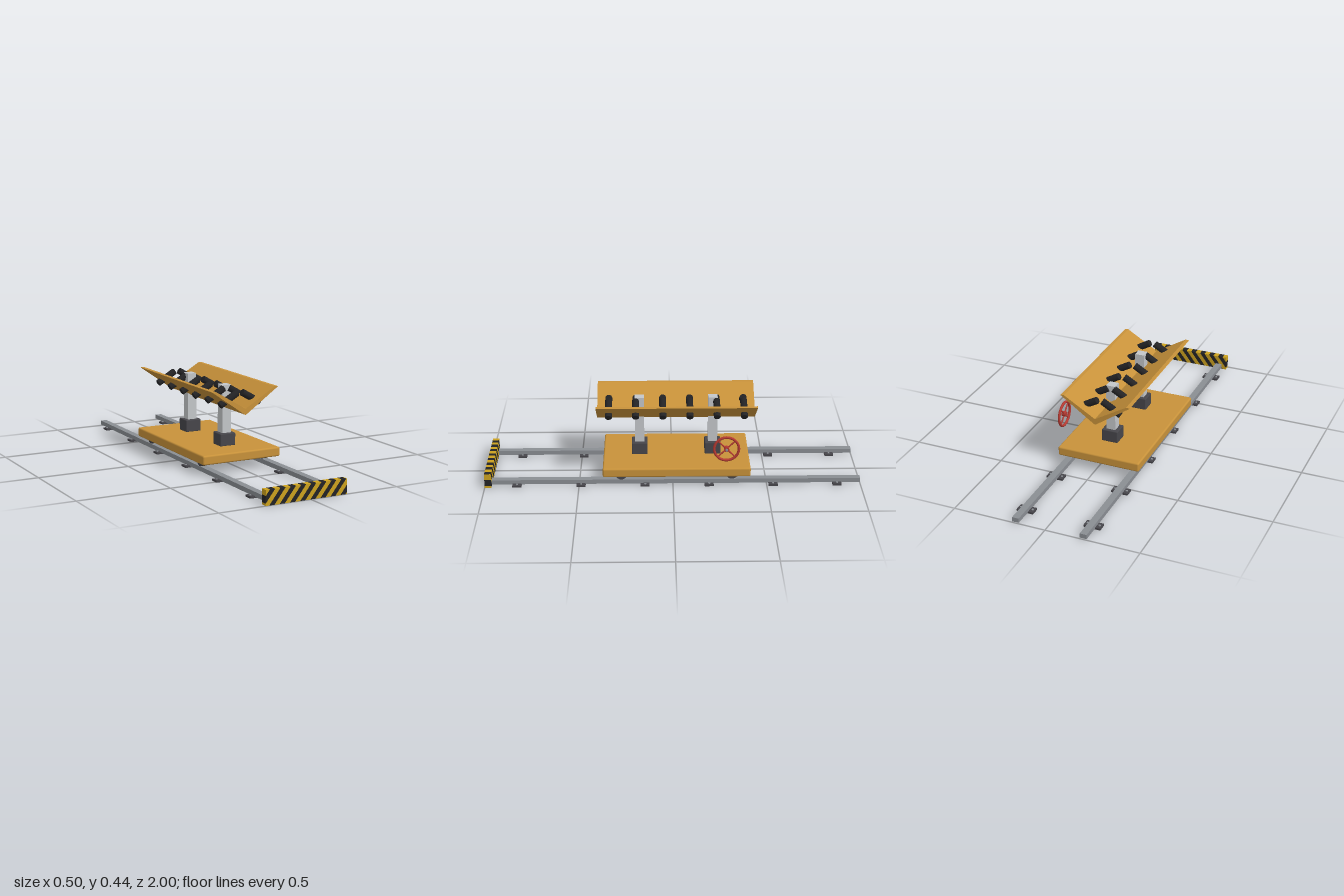
import * as THREE from 'three';
import { RoundedBoxGeometry } from 'three/addons/geometries/RoundedBoxGeometry.js';

const material = (name, color) => {
  const m = new THREE.MeshStandardMaterial({ color });
  m.name = name;
  return m;
};

export function createModel() {
  const group = new THREE.Group();
  const CX = -0.0225, CZ = -0.02; // centre of the trolley
  const ochre = material('ochre paint', 0xc8923a);
  const yellow = material('hazard yellow', 0xcda21e);
  const black = material('rubber black', 0x232325);
  const charcoal = material('charcoal steel', 0x47464b);
  const silver = material('silver steel', 0xc4c7ca);
  const railGrey = material('rail grey', 0x8a8e93);
  const red = material('handwheel red', 0xb53a32);

  const add = (name, geometry, mat, x = 0, y = 0, z = 0, parent = group) => {
    const mesh = new THREE.Mesh(geometry, mat);
    mesh.name = name;
    mesh.position.set(x, y, z);
    parent.add(mesh);
    return mesh;
  };
  const box = (w, h, d) => new THREE.BoxGeometry(w, h, d);
  const extrude = (points, depth) => new THREE.ExtrudeGeometry(
    new THREE.Shape(points.map(([x, y]) => new THREE.Vector2(x, y))),
    { depth, bevelEnabled: false });

  // Rails with bolted foot plates
  for (const side of [-1, 1]) {
    const x = CX + side * 0.182;
    add('rail', box(0.036, 0.024, 1.97), railGrey, x, 0.018, -0.015);
    for (let i = 0; i < 6; i++) {
      const z = -0.875 + i * 0.341;
      add('footPlate', box(0.09, 0.01, 0.048), charcoal, x, 0.005, z);
      for (const s of [-1, 1]) {
        add('footBolt', new THREE.CylinderGeometry(0.006, 0.006, 0.005, 8), railGrey, x + s * 0.032, 0.0115, z);
      }
    }
    // Trolley wheels, half sunk in the deck
    for (const s of [-1, 1]) {
      const wheel = add('trolleyWheel', new THREE.CylinderGeometry(0.031, 0.031, 0.03, 24), charcoal, x, 0.06, CZ + s * 0.295);
      wheel.rotation.z = Math.PI / 2;
    }
  }

  // End stop: alternating diagonal bands cut to the bar outline
  const W = 0.455, H = 0.078, BAND = 0.0285, LEAN = 0.06;
  const left = CX - W / 2, right = CX + W / 2;
  const clip = (points, edge, sign) => points.flatMap((p, i) => {
    const q = points[(i + 1) % points.length];
    const a = (p[0] - edge) * sign, b = (q[0] - edge) * sign;
    const out = a >= 0 ? [p] : [];
    if (a * b < 0) {
      const t = a / (a - b);
      out.push([p[0] + (q[0] - p[0]) * t, p[1] + (q[1] - p[1]) * t]);
    }
    return out;
  });
  const endStop = new THREE.Group();
  endStop.name = 'endStop';
  group.add(endStop);
  for (let i = 0; i < 19; i++) {
    const x = left - LEAN - 0.006 + i * BAND;
    let band = [[x, 0], [x + BAND, 0], [x + BAND + LEAN, H], [x + LEAN, H]];
    band = clip(clip(band, left, 1), right, -1);
    if (band.length > 2) add('hazardBand', extrude(band, 0.035), i % 2 ? black : yellow, 0, 0, 0.965, endStop);
  }

  // Deck
  add('deck', new RoundedBoxGeometry(W, 0.05, 0.785, 3, 0.009), ochre, CX, 0.08, CZ);

  // Support posts on sockets
  for (const s of [-1, 1]) {
    const z = CZ + s * 0.197;
    add('postSocket', new RoundedBoxGeometry(0.09, 0.068, 0.085, 2, 0.005), charcoal, CX, 0.137, z);
    add('post', box(0.051, 0.262, 0.05), silver, CX, 0.296, z);
  }

  // V-shaped tray, thicker at the fold
  add('tray', extrude([
    [-0.191, 0.436], [-0.008, 0.308], [0, 0.304], [0.008, 0.308], [0.191, 0.436], [0.189, 0.438],
    [0.171, 0.438], [0.005, 0.339], [0, 0.337], [-0.005, 0.339], [-0.171, 0.438], [-0.189, 0.438],
  ], 0.848), ochre, CX, 0, CZ - 0.424);

  // Pairs of sloping rollers with chamfered ends
  const rollerGeometry = new THREE.LatheGeometry(
    [[0, -0.059], [0.0165, -0.059], [0.0185, -0.057], [0.0185, 0.057], [0.0165, 0.059], [0, 0.059]]
      .map(([r, y]) => new THREE.Vector2(r, y)), 24);
  for (let i = 0; i < 6; i++) {
    for (const s of [-1, 1]) {
      const roller = add('roller', rollerGeometry, black, CX + s * 0.065, 0.381, CZ + (i - 2.5) * 0.144);
      roller.rotation.z = s * Math.PI / 3;
    }
  }

  // Handwheel facing sideways
  const handwheel = new THREE.Group();
  handwheel.name = 'handwheel';
  handwheel.position.set(0.227, 0.23, -0.28);
  handwheel.rotation.y = Math.PI / 2;
  group.add(handwheel);
  add('wheelRim', new THREE.TorusGeometry(0.065, 0.007, 12, 40), red, 0, 0, 0, handwheel);
  for (const angle of [Math.PI / 4, -Math.PI / 4]) {
    const spoke = add('wheelSpoke', new THREE.CylinderGeometry(0.004, 0.004, 0.128, 10), red, 0, 0, 0, handwheel);
    spoke.rotation.z = angle;
  }
  const hub = add('wheelHub', new THREE.CylinderGeometry(0.014, 0.014, 0.022, 20), red, 0, 0, 0, handwheel);
  const shaft = add('wheelShaft', new THREE.CylinderGeometry(0.006, 0.006, 0.03, 16), railGrey, 0, 0, 0.008, handwheel);
  hub.rotation.x = shaft.rotation.x = Math.PI / 2;

  return group;
}
